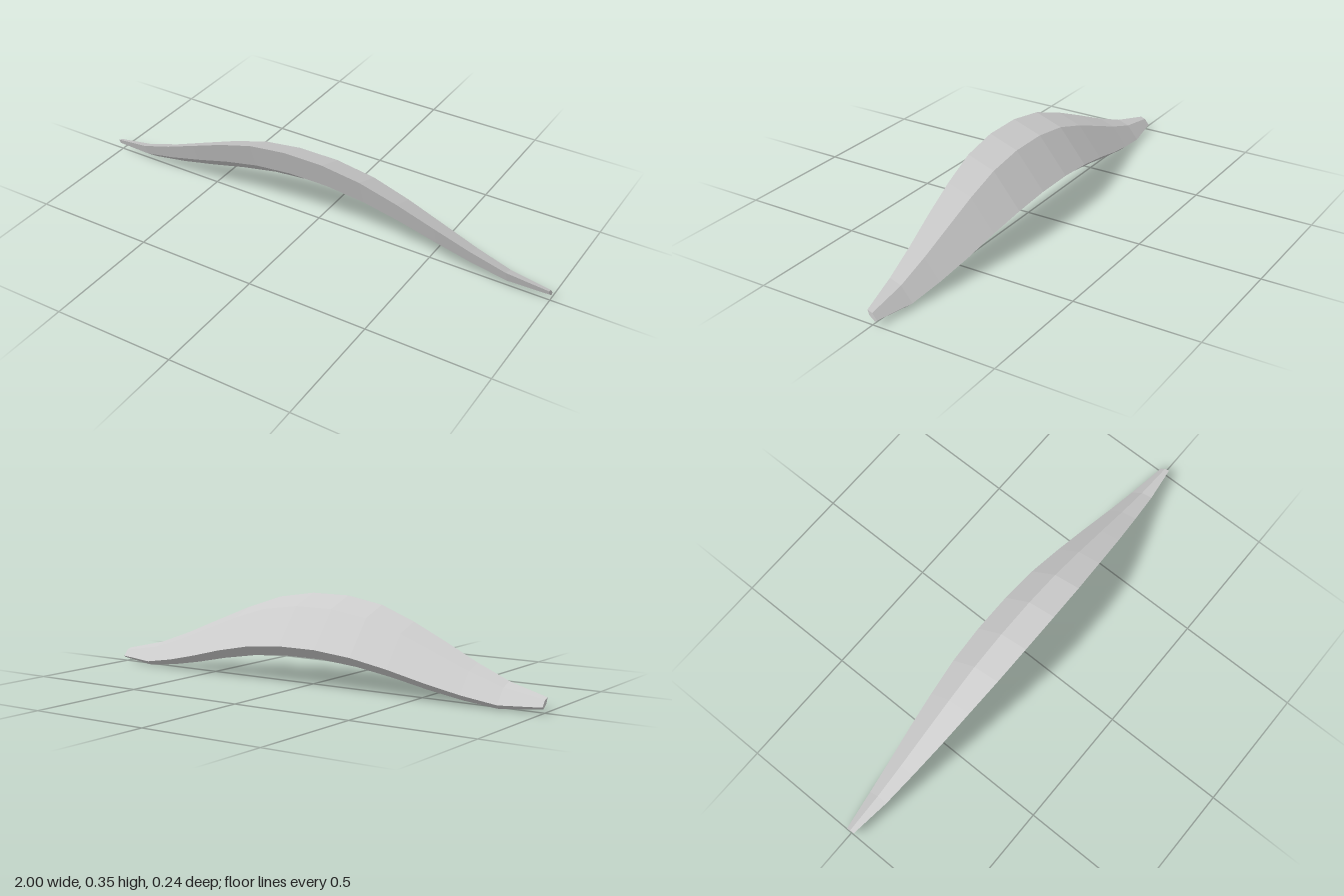
import * as THREE from 'three';

// Half of the stations along the length: [x, half width, lowest y]
const HALF = [
  [0.085, 0.121, 0.117],
  [0.246, 0.115, 0.103],
  [0.4, 0.101, 0.077],
  [0.55, 0.085, 0.045],
  [0.695, 0.066, 0.019],
  [0.836, 0.0475, 0.002],
  [1, 0.02, 0.018],
];

// Five-sided cross-section as [z, y] in units of the half width
const SECTION = [
  [1, 1.92],      // high front edge
  [0, 1.57],      // top ridge
  [-1, 0.36],     // back edge
  [-0.56, 0],     // bottom edge
  [0.65, 0.94],   // lower front edge
];

export function createModel() {
  const group = new THREE.Group();
  group.name = 'curvedBow';
  const grey = new THREE.MeshStandardMaterial({ color: 0xcccccc, flatShading: true });
  grey.name = 'light grey';

  // Mirror the stations to make the whole length
  const stations = [
    ...HALF.map(([x, w, y]) => [-x, w, y]).reverse(),
    ...HALF,
  ];
  const rings = stations.map(([x, w, base]) =>
    SECTION.map(([z, y]) => [x, base + y * w, z * w]));

  const positions = [];
  const tri = (a, b, c) => positions.push(...a, ...b, ...c);
  const n = SECTION.length;

  // Long facets
  for (let i = 0; i < rings.length - 1; i++) {
    for (let j = 0; j < n; j++) {
      const k = (j + 1) % n;
      const p = rings[i], q = rings[i + 1];
      tri(p[j], q[j], q[k]);
      tri(p[j], q[k], p[k]);
    }
  }
  // End caps
  const first = rings[0], last = rings[rings.length - 1];
  for (let j = 1; j < n - 1; j++) {
    tri(first[0], first[j], first[j + 1]);
    tri(last[0], last[j + 1], last[j]);
  }

  const geometry = new THREE.BufferGeometry();
  geometry.setAttribute('position', new THREE.Float32BufferAttribute(positions, 3));
  geometry.computeVertexNormals();

  const body = new THREE.Mesh(geometry, grey);
  body.name = 'archedBody';
  group.add(body);
  return group;
}
